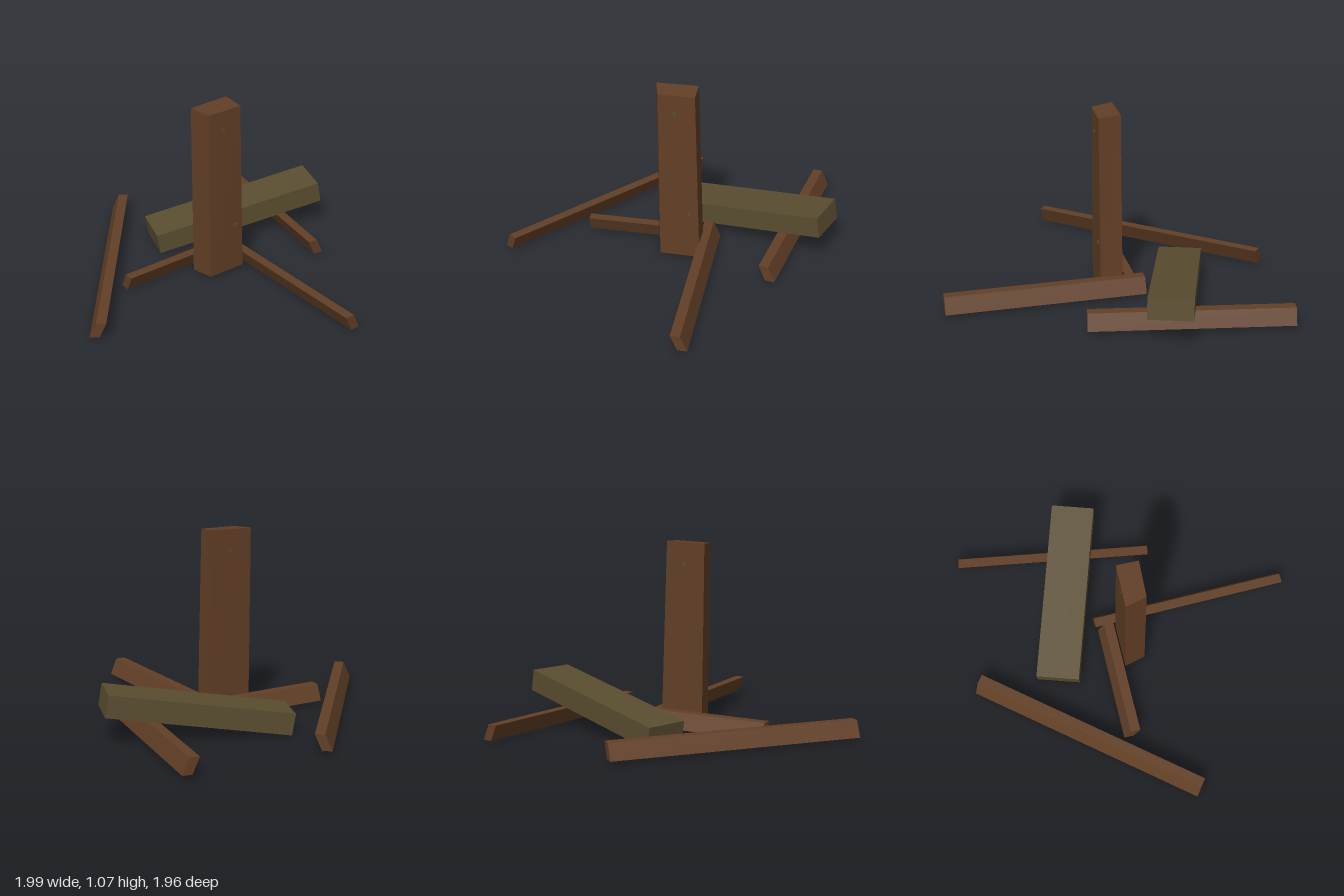
import * as THREE from 'three';

const wood = new THREE.MeshStandardMaterial({ color: 0x623f26 });
wood.name = 'brownWood';
const olive = new THREE.MeshStandardMaterial({ color: 0x5a4d30 });
olive.name = 'oliveWood';

// Solid between two four-cornered rings, each listed anticlockwise seen from above
function prism(bottom, top) {
  const pos = [];
  const quad = (a, b, c, d) => pos.push(...a, ...b, ...c, ...a, ...c, ...d);
  quad(...top);
  quad(...[...bottom].reverse());
  for (let i = 0; i < 4; i++) {
    const j = (i + 1) % 4;
    quad(bottom[i], bottom[j], top[j], top[i]);
  }
  const g = new THREE.BufferGeometry();
  g.setAttribute('position', new THREE.Float32BufferAttribute(pos, 3));
  g.computeVertexNormals();
  return g;
}

// Leaning ground beam: its top is pushed sideways from its base
function beam(cx, cz, dx, dz, length) {
  const width = 0.056, lean = 0.04;
  const n = Math.hypot(dx, dz);
  const d = [dx / n, dz / n], s = [-dz / n, dx / n];
  const ring = (y, shift) =>
    [[-1, 1], [1, 1], [1, -1], [-1, -1]].map(([u, v]) => {
      const a = u * length / 2, b = v * width / 2 + shift;
      return [cx + d[0] * a + s[0] * b, y, cz + d[1] * a + s[1] * b];
    });
  return prism(ring(0.018, -lean / 2), ring(0.11, lean / 2));
}

export function createModel() {
  const model = new THREE.Group();
  const add = (name, geometry, material) => {
    const mesh = new THREE.Mesh(geometry, material);
    mesh.name = name;
    model.add(mesh);
    return mesh;
  };

  // Fallen beams on the ground
  add('backBeam', beam(-0.382, -0.513, 0.804, -0.594, 1.455), wood);
  add('leftBeam', beam(0.725, -0.185, -0.398, 0.917, 1.154), wood);
  add('frontBeam', beam(0.092, 0.404, -0.233, 0.972, 1.16), wood);
  add('shortBeam', beam(-0.16, -0.197, 0.969, 0.25, 0.69), wood);

  // Upright post, slightly wider at the foot
  add('post', prism(
    [[-0.092, 0.015, 0.013], [0.132, 0.015, 0.074], [0.165, 0.015, -0.05], [-0.09, 0.015, -0.116]],
    [[-0.104, 1.062, 0.013], [0.1, 1.065, 0.074], [0.131, 1.075, -0.05], [-0.104, 1.07, -0.116]]
  ), wood);

  // Pegs through the post, almost flush with both faces
  const axis = new THREE.Vector3(-0.28, 0, 0.96).normalize();
  for (const [x, y, z] of [[0.007, 0.95, -0.019], [0.092, 0.305, 0.003]]) {
    const peg = add('peg', new THREE.CylinderGeometry(0.014, 0.014, 0.132, 8), olive);
    peg.position.set(x, y, z);
    peg.quaternion.setFromUnitVectors(new THREE.Vector3(0, 1, 0), axis);
  }

  // Thick plank propped on the left beam
  const plank = add('plank', new THREE.BoxGeometry(1.045, 0.125, 0.252), olive);
  plank.position.set(0.444, 0.148, -0.238);
  plank.rotation.set(0, -0.568, 0.165);

  return model;
}
